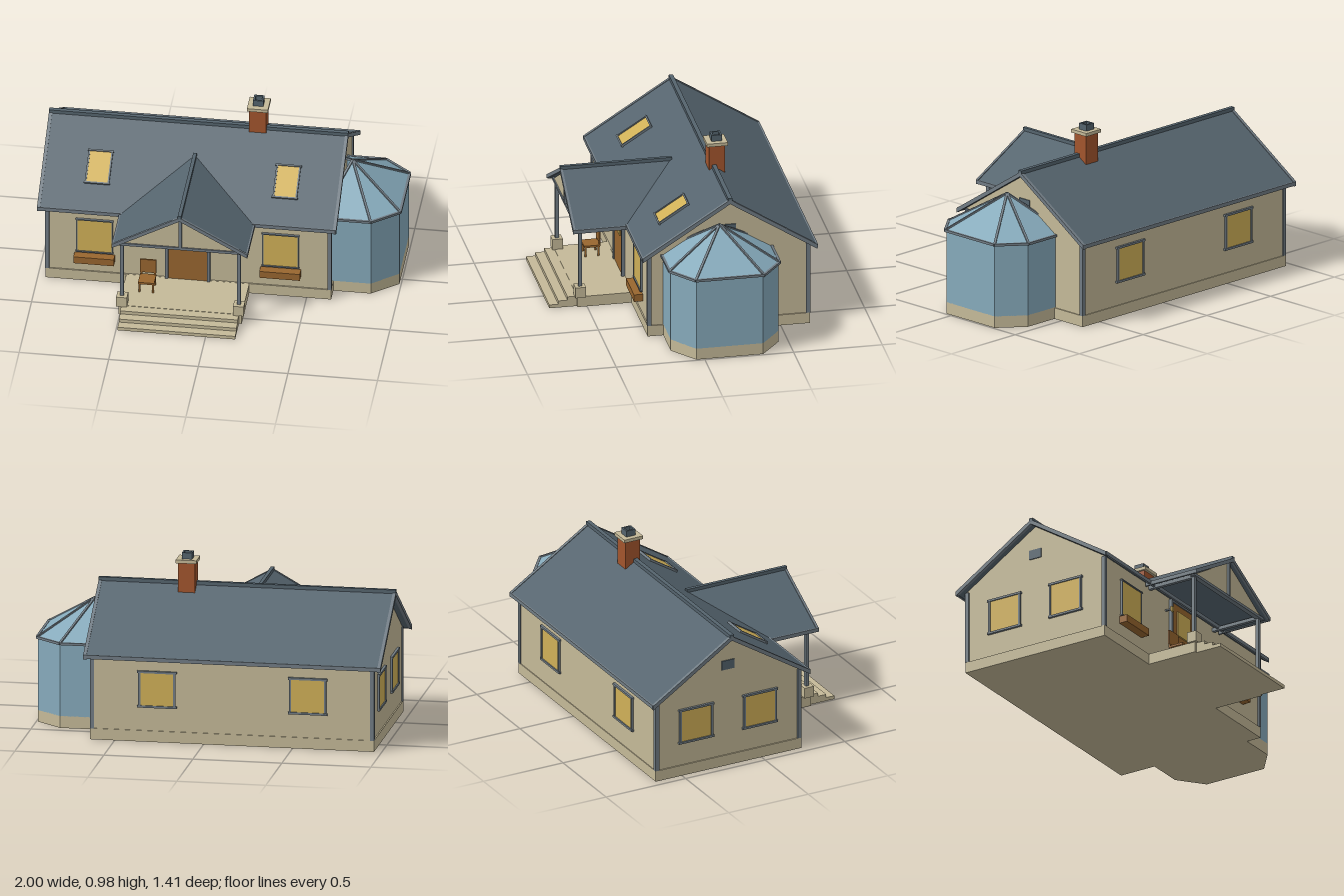
import * as THREE from 'three';

const mat = (name, color, extra = {}) => Object.assign(new THREE.MeshStandardMaterial({ color, ...extra }), { name });

export function createModel() {
  const root = new THREE.Group();
  root.name = 'cottage';
  const wall = mat('plaster', 0xc4b998);
  const slate = mat('slate', 0x55646e);
  const trim = mat('greyTrim', 0x717c84);
  const wood = mat('wood', 0x98662f);
  const brick = mat('brick', 0xa2552d);
  const pane = mat('warmGlass', 0xd0b058);
  const glass = mat('blueGlass', 0x86aabb, { side: THREE.DoubleSide });

  const add = (name, geo, material, parent = root) => {
    const m = new THREE.Mesh(geo, material);
    m.name = name;
    parent.add(m);
    return m;
  };
  // box given by its minimum and maximum corners
  const box = (name, material, x0, x1, y0, y1, z0, z1, parent = root) => {
    const m = add(name, new THREE.BoxGeometry(x1 - x0, y1 - y0, z1 - z0), material, parent);
    m.position.set((x0 + x1) / 2, (y0 + y1) / 2, (z0 + z1) / 2);
    return m;
  };
  // square bar between two points
  const bar = (name, material, a, b, w, h = w) => {
    const m = add(name, new THREE.BoxGeometry(w, h, a.distanceTo(b)), material);
    m.position.copy(a).lerp(b, 0.5);
    m.lookAt(b);
    return m;
  };
  const extrude = (pts, depth) => new THREE.ExtrudeGeometry(
    new THREE.Shape(pts.map(p => new THREE.Vector2(p[0], p[1]))), { depth, bevelEnabled: false });
  // profile in (z, y) extruded from x0 to x1
  const alongX = (pts, x0, x1) => extrude(pts, x1 - x0).rotateY(-Math.PI / 2).translate(x1, 0, 0);
  // inverted V roof section
  const chevron = (c, half, top, eave, t) => [
    [c - half, eave], [c, top], [c + half, eave], [c + half, eave - t], [c, top - t], [c - half, eave - t]];

  // Main body
  const CZ = -0.209, SLOPE = 0.64;
  box('foundation', wall, -0.957, 0.637, 0, 0.063, -0.665, 0.25);
  add('walls', alongX([[-0.66, 0.06], [0.243, 0.06], [0.243, 0.49], [CZ, 0.782], [-0.66, 0.49]], -0.95, 0.63), wall);
  for (const x of [-0.947, 0.627]) for (const z of [-0.655, 0.24])
    box('cornerPost', trim, x - 0.011, x + 0.011, 0.063, 0.485, z - 0.012, z + 0.012);

  // Main roof with bargeboards, fascias and ridge
  add('mainRoof', alongX(chevron(CZ, 0.488, 0.8, 0.488, 0.02), -0.985, 0.655), slate);
  for (const x of [-1, 0.652])
    add('bargeboard', alongX(chevron(CZ, 0.493, 0.804, 0.488, 0.026), x, x + 0.018), trim);
  for (const s of [-1, 1])
    box('fascia', trim, -0.995, 0.665, 0.467, 0.489, CZ + s * 0.49 - 0.006, CZ + s * 0.49 + 0.006);
  box('ridgeCap', slate, -1, 0.67, 0.79, 0.813, CZ - 0.012, CZ + 0.012);

  // Windows: face +z before turning
  const windowAt = (name, x, y, z, ry, w, h, f) => {
    const g = new THREE.Group();
    g.name = name;
    g.position.set(x, y, z);
    g.rotation.y = ry;
    root.add(g);
    box('pane', pane, -w / 2, w / 2, -h / 2, h / 2, 0, 0.007, g);
    for (const s of [-1, 1]) {
      const u = s * (w / 2 + f / 2), v = s * (h / 2 + f / 2);
      box('frameSide', trim, u - f / 2, u + f / 2, -h / 2, h / 2, 0, 0.012, g);
      box('frameRail', trim, -w / 2 - f * 1.5, w / 2 + f * 1.5, v - f / 2, v + f / 2, 0, 0.014, g);
    }
    return g;
  };
  for (const x of [-0.683, 0.355]) {
    windowAt('frontWindow', x, 0.3, 0.243, 0, 0.19, 0.205, 0.007);
    box('planter', wood, x - 0.113, x + 0.113, 0.138, 0.18, 0.243, 0.293);
  }
  for (const x of [-0.585, 0.262]) windowAt('backWindow', x, 0.3, -0.66, Math.PI, 0.185, 0.185, 0.012);
  for (const z of [CZ - 0.2, CZ + 0.2]) windowAt('sideWindow', -0.95, 0.3, z, -Math.PI / 2, 0.185, 0.185, 0.012);
  for (const x of [-0.952, 0.632]) box('gableVent', slate, x - 0.004, x + 0.004, 0.585, 0.64, CZ - 0.04, CZ + 0.04);

  // Skylights lying on the front slope
  for (const x of [-0.685, 0.363]) {
    const z = 0.058;
    const g = windowAt('skylight', x, 0.8 - SLOPE * (z - CZ) + 0.001, z, 0, 0.118, 0.185, 0.009);
    g.rotation.x = Math.atan(SLOPE) - Math.PI / 2;
  }

  // Chimney
  box('chimneyStack', brick, 0.12, 0.215, 0.66, 0.93, -0.272, -0.181);
  box('chimneyCap', wall, 0.109, 0.226, 0.927, 0.946, -0.285, -0.167);
  for (const s of [-1, 1]) {
    const x = 0.167 + s * 0.024, z = -0.228 + s * 0.024;
    box('chimneyPotSide', slate, x - 0.005, x + 0.005, 0.946, 0.982, -0.257, -0.199);
    box('chimneyPotEnd', slate, 0.143, 0.191, 0.946, 0.982, z - 0.005, z + 0.005);
  }

  // Porch floor and steps
  const PX = -0.163;
  box('porchFloor', wall, PX - 0.343, PX + 0.343, 0, 0.062, 0.24, 0.554);
  [[0.06, 0.607], [0.04, 0.659], [0.02, 0.71]].forEach(([h, z]) =>
    box('step', wall, PX - 0.328, PX + 0.328, 0, h, 0.55, z));
  for (const s of [-1, 1]) {
    const x = PX + s * 0.326;
    box('columnPlinth', wall, x - 0.03, x + 0.03, 0.06, 0.122, 0.508, 0.567);
    box('porchColumn', trim, x - 0.01, x + 0.01, 0.122, 0.475, 0.527, 0.547);
    box('porchBeam', trim, x - 0.01, x + 0.01, 0.46, 0.48, 0.24, 0.547);
  }

  // Porch roof: the rear end is raked back to meet the main slope
  const porchRoof = extrude(chevron(PX, 0.372, 0.693, 0.483, 0.018), 0.57);
  const p = porchRoof.attributes.position;
  for (let i = 0; i < p.count; i++)
    p.setZ(i, p.getZ(i) > 0.1 ? 0.575 : CZ + (0.8 - p.getY(i)) / SLOPE - 0.015);
  porchRoof.computeVertexNormals();
  add('porchRoof', porchRoof, slate);
  add('porchBargeboard', extrude(chevron(PX, 0.378, 0.697, 0.485, 0.024), 0.014).translate(0, 0, 0.571), trim);
  for (const s of [-1, 1])
    box('porchFascia', trim, PX + s * 0.374 - 0.005, PX + s * 0.374 + 0.005, 0.462, 0.484, 0.25, 0.58);
  box('porchRidge', slate, PX - 0.01, PX + 0.01, 0.685, 0.707, -0.045, 0.585);
  add('porchGable', extrude([[PX - 0.34, 0.475], [PX + 0.34, 0.475], [PX, 0.678]], 0.02).translate(0, 0, 0.53), wall);
  box('tieBeam', trim, PX - 0.355, PX + 0.355, 0.463, 0.479, 0.528, 0.557);
  box('kingPost', trim, PX - 0.009, PX + 0.009, 0.475, 0.685, 0.545, 0.562);

  // Front door and porch lamp
  box('door', wood, -0.272, -0.054, 0.062, 0.47, 0.243, 0.255);
  box('doorPane', pane, -0.227, -0.099, 0.283, 0.428, 0.255, 0.263);
  for (const x of [-0.28, -0.046]) box('doorPost', trim, x - 0.009, x + 0.009, 0.062, 0.475, 0.243, 0.262);
  box('doorLintel', trim, -0.289, -0.037, 0.468, 0.482, 0.243, 0.262);
  box('lampBracket', trim, -0.33, -0.32, 0.395, 0.403, 0.243, 0.286);
  box('porchLamp', pane, -0.335, -0.315, 0.383, 0.412, 0.284, 0.293);

  // Porch chair
  const chair = new THREE.Group();
  chair.name = 'chair';
  root.add(chair);
  box('chairSeat', wood, -0.418, -0.328, 0.116, 0.128, 0.325, 0.415, chair);
  box('chairBack', wood, -0.418, -0.328, 0.14, 0.225, 0.321, 0.33, chair);
  for (const x of [-0.411, -0.335]) {
    for (const z of [0.333, 0.406]) box('chairLeg', wood, x - 0.005, x + 0.005, 0.062, 0.118, z - 0.005, z + 0.005, chair);
    box('chairUpright', wood, x - 0.005, x + 0.005, 0.12, 0.15, 0.322, 0.33, chair);
  }

  // Conservatory: part octagon against the right gable
  const QX = 0.703, QZ = -0.142;
  const ring = (dx, dz, y) => [[-0.143, 1], [0.143, 1], [dx, 0.62], [dx, -0.62], [0.143, -1], [-0.143, -1]]
    .map(([x, z]) => new THREE.Vector3(QX + x, y, QZ + z * dz));
  const surface = tris => {
    const g = new THREE.BufferGeometry().setFromPoints(tris);
    g.computeVertexNormals();
    return g;
  };
  const low = ring(0.287, 0.304, 0.066), high = ring(0.287, 0.304, 0.478);
  const eave = ring(0.292, 0.31, 0.482), apex = new THREE.Vector3(QX, 0.675, QZ);
  add('conservatoryBase', extrude(low.map(v => [v.x, -v.z]), 0.068).rotateX(-Math.PI / 2), wall);
  const panels = [], roofPanes = [];
  for (let i = 0; i < 5; i++) {
    panels.push(low[i], low[i + 1], high[i + 1], low[i], high[i + 1], high[i]);
    roofPanes.push(eave[i], eave[i + 1], apex);
    bar('conservatoryGutter', trim, eave[i], eave[i + 1], 0.014);
  }
  add('conservatoryWalls', surface(panels), glass);
  add('conservatoryRoof', surface(roofPanes), glass);
  eave.forEach(e => bar('conservatoryRib', trim, e, apex, 0.013));
  return root;
}
